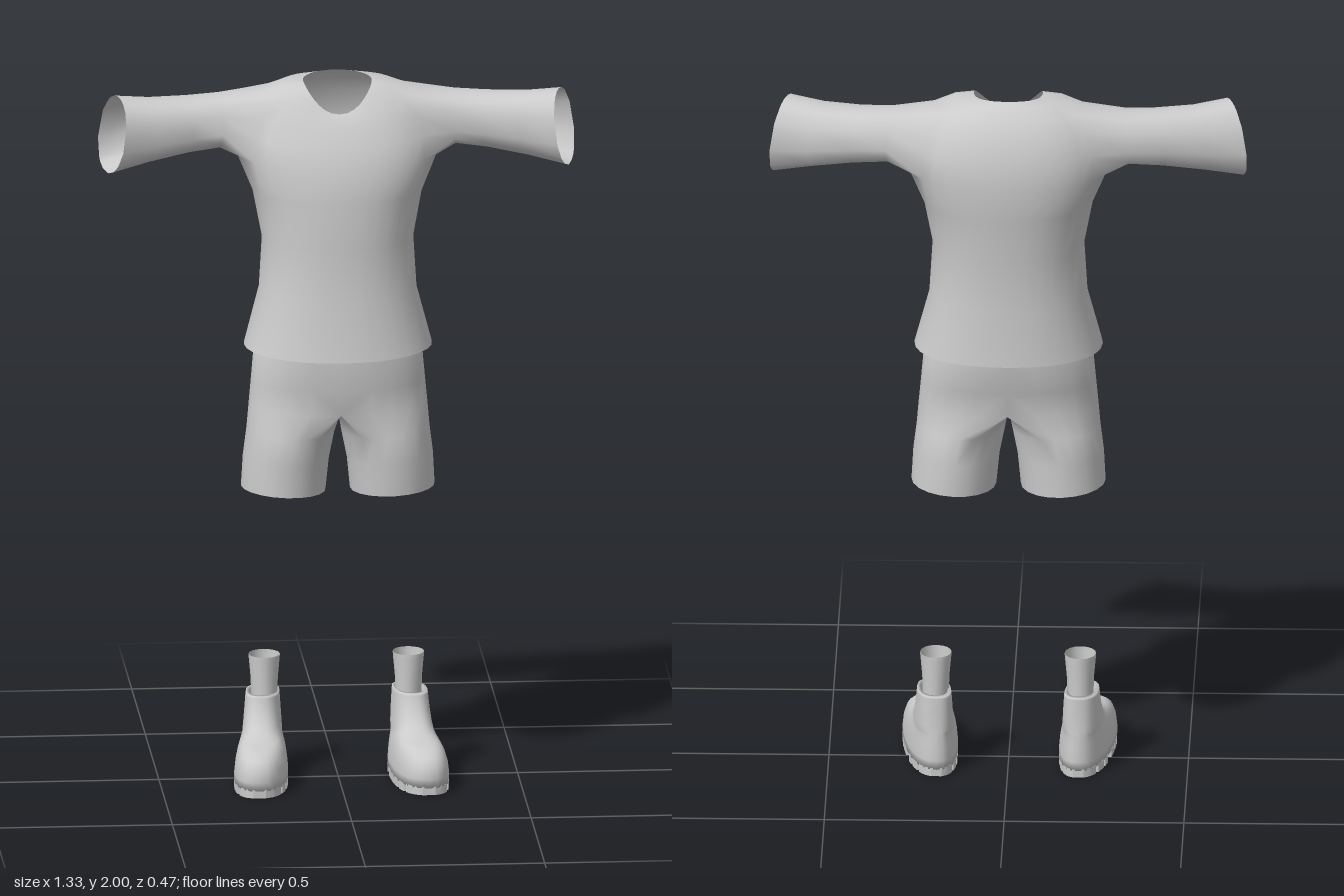
import * as THREE from 'three';
import { mergeVertices } from 'three/addons/utils/BufferGeometryUtils.js';

const grey = new THREE.MeshStandardMaterial({ color: 0xcccccc, side: THREE.DoubleSide });
const TAU = Math.PI * 2;
const pow = (v, e) => Math.sign(v) * Math.abs(v) ** e;

function surface(positions, index) {
  const g = new THREE.BufferGeometry();
  g.setAttribute('position', new THREE.Float32BufferAttribute(positions.flat(), 3));
  g.setIndex(index);
  const merged = mergeVertices(g, 1e-5);
  merged.computeVertexNormals();
  return merged;
}

function addMesh(parent, geometry, name) {
  const mesh = new THREE.Mesh(geometry, grey);
  mesh.name = name;
  parent.add(mesh);
  return mesh;
}

const quad = (index, a, b, up, upNext) => index.push(a, up, b, b, up, upNext);

// Closed rings stacked upwards, optionally closed underneath
function loft(rings, capBottom) {
  const n = rings[0].length, pts = rings.flat(), index = [];
  for (let r = 0; r < rings.length - 1; r++)
    for (let i = 0; i < n; i++) {
      const a = r * n + i, b = r * n + (i + 1) % n;
      quad(index, a, b, a + n, b + n);
    }
  if (capBottom) {
    const c = new THREE.Vector3();
    rings[0].forEach(p => c.add(new THREE.Vector3(...p).divideScalar(n)));
    pts.push(c.toArray());
    for (let i = 0; i < n; i++) index.push(pts.length - 1, i, (i + 1) % n);
  }
  return surface(pts, index);
}

// Shirt: trunk with two armholes, each continued as a sleeve
function shirt() {
  const N = 32, H = 3, LOW = 4, HIGH = 7;
  // yFront, ySide, yBack, half width, zFront, zBack
  const rows = [
    [1.232, 1.242, 1.24, 0.262, 0.182, -0.212],
    [1.4, 1.4, 1.4, 0.22, 0.152, -0.2],
    [1.55, 1.55, 1.55, 0.211, 0.15, -0.207],
    [1.68, 1.68, 1.68, 0.236, 0.15, -0.225],
    [1.77, 1.785, 1.77, 0.28, 0.138, -0.236],
    [1.83, 1.85, 1.85, 0.275, 0.112, -0.228],
    [1.87, 1.915, 1.915, 0.255, 0.092, -0.207],
    [1.893, 1.965, 1.96, 0.21, 0.077, -0.178],
    [1.907, 1.988, 1.987, 0.15, 0.066, -0.15],
    [1.915, 1.992, 1.998, 0.096, 0.056, -0.122],
  ];
  const pts = [], index = [];
  for (const [yf, ys, yb, w, zf, zb] of rows)
    for (let i = 0; i < N; i++) {
      const a = i / N * TAU, s = Math.sin(a);
      pts.push([w * pow(Math.cos(a), 0.9), ys + ((s > 0 ? yf : yb) - ys) * s * s,
        (zf + zb) / 2 + (zf - zb) / 2 * pow(s, 0.9)]);
    }
  const id = (r, c) => r * N + (c + N) % N;
  const inHole = c => (c + H + N) % N < 2 * H || (c + H + N / 2) % N < 2 * H;
  for (let r = 0; r < rows.length - 1; r++)
    for (let c = 0; c < N; c++)
      if (!(r >= LOW && r < HIGH && inHole(c)))
        quad(index, id(r, c), id(r, c + 1), id(r + 1, c), id(r + 1, c + 1));

  // Armhole border, walked once round
  const border = [];
  for (let c = H; c > -H; c--) border.push([HIGH, c]);
  for (let r = HIGH; r > LOW; r--) border.push([r, -H]);
  for (let c = -H; c < H; c++) border.push([LOW, c]);
  for (let r = LOW; r < HIGH; r++) border.push([r, H]);
  // x, yTop, yBottom, zFront, zBack, slant of the ring
  const sleeve = [
    [0.33, 1.953, 1.8, 0.033, -0.15, 0.1],
    [0.42, 1.95, 1.79, 0.042, -0.132, 0.2],
    [0.53, 1.952, 1.77, 0.065, -0.113, 0.3],
    [0.63, 1.965, 1.745, 0.084, -0.084, 0.37],
  ];
  for (const side of [1, -1]) {
    let last = border.map(([r, c]) => id(r, side > 0 ? c : N / 2 - c));
    const angles = border.map(([r, c]) => {
      const p = pts[id(r, c)];
      return Math.atan2((p[2] + 0.055) / 0.105, (p[1] - 1.872) / 0.09);
    });
    for (const [x, yt, yb, zf, zb, slant] of sleeve) {
      const start = pts.length, n = angles.length;
      for (const a of angles) {
        const dy = (yt - yb) / 2 * Math.cos(a), dz = (zf - zb) / 2 * Math.sin(a);
        pts.push([side * (x - slant * dz - 0.35 * slant * dy), (yt + yb) / 2 + dy, (zf + zb) / 2 + dz]);
      }
      const next = angles.map((_, i) => start + i);
      for (let i = 0; i < n; i++) {
        const j = (i + 1) % n;
        if (side > 0) quad(index, last[i], last[j], next[i], next[j]);
        else quad(index, last[j], last[i], next[j], next[i]);
      }
      last = next;
    }
  }
  return surface(pts, index);
}

// Shorts: one half (leg below, half of the hips above), mirrored and joined
function shorts() {
  const N = 20, K = 6;
  // y, leg centre x, leg half width, zFront, zBack
  const legs = [[0.83, 0.152, 0.118, 0.113, -0.15], [0.92, 0.145, 0.12, 0.12, -0.15],
    [1.0, 0.132, 0.123, 0.126, -0.15]];
  // y, half width, zFront, zBack
  const hips = [[1.065, 0.25, 0.118, -0.14], [1.14, 0.243, 0.13, -0.16],
    [1.23, 0.235, 0.14, -0.18], [1.3, 0.205, 0.135, -0.175]];
  const half = [], faces = [];
  for (const [y, cx, w, zf, zb] of legs)
    for (let i = 0; i < N; i++) {
      const a = i / N * TAU;
      half.push([cx + w * Math.cos(a), y + 0.05 * w * Math.cos(a), (zf + zb) / 2 + (zf - zb) / 2 * Math.sin(a)]);
    }
  for (const [y, w, zf, zb] of hips)
    for (let i = 0; i < N; i++) {
      const c = i > N / 2 ? i - N : i, mid = (zf + zb) / 2, d = (zf - zb) / 2;
      if (Math.abs(c) <= K) {
        const a = c / K * Math.PI / 2;
        half.push([Math.abs(c) === K ? 0 : w * pow(Math.cos(a), 0.8), y, mid + d * pow(Math.sin(a), 0.9)]);
      } else {
        const t = (N / 2 - i) / (N / 2 - K);
        half.push([0, y - 0.02 * (1 - t * t), mid + d * t]);
      }
    }
  for (let r = 0; r < legs.length + hips.length - 1; r++)
    for (let i = 0; i < N; i++) {
      if (r >= legs.length && i >= K && i < N - K) continue;
      const a = r * N + i, b = r * N + (i + 1) % N;
      quad(faces, a, b, a + N, b + N);
    }
  const M = half.length, index = [...faces];
  for (let f = 0; f < faces.length; f += 3) index.push(faces[f] + M, faces[f + 2] + M, faces[f + 1] + M);
  return surface([...half, ...half.map(([x, y, z]) => [-x, y, z])], index);
}

// Boot with sock and treaded sole, for the +x foot
function boot() {
  const group = new THREE.Group(), N = 28, E = 0.82;
  const shear = z => 0.213 + 0.1 * z;
  // y, zFront, zBack, half width at toe, half width at heel
  const rows = [
    [0.02, 0.232, -0.16, 0.082, 0.066], [0.045, 0.236, -0.16, 0.082, 0.066],
    [0.075, 0.233, -0.159, 0.078, 0.064], [0.1, 0.215, -0.157, 0.07, 0.061],
    [0.115, 0.185, -0.156, 0.06, 0.059], [0.123, 0.14, -0.155, 0.054, 0.058],
    [0.13, 0.085, -0.154, 0.053, 0.057], [0.148, 0.047, -0.152, 0.052, 0.055],
    [0.185, 0.014, -0.15, 0.049, 0.052], [0.225, 0.001, -0.149, 0.046, 0.049],
    [0.232, -0.001, -0.148, 0.045, 0.048], [0.232, -0.012, -0.135, 0.036, 0.038],
    [0.2, -0.016, -0.13, 0.034, 0.036],
  ];
  const width = (row, s) => row[4] + (row[3] - row[4]) * (s + 1) / 2;
  const ring = row => Array.from({ length: N }, (_, i) => {
    const a = i / N * TAU, s = pow(Math.sin(a), E);
    const z = (row[1] + row[2]) / 2 + (row[1] - row[2]) / 2 * s;
    return [shear(z) + width(row, s) * pow(Math.cos(a), E), row[0], z];
  });
  addMesh(group, loft(rows.map(ring), true), 'bootUpper');

  // Sole lugs, trimmed to the outline of the foot
  const base = rows[0], mid = (base[1] + base[2]) / 2, d = (base[1] - base[2]) / 2;
  const lugs = [[0.23, 0.19], [0.178, 0.147], [0.134, 0.105], [0.092, 0.063], [0.05, 0.003],
    [-0.04, -0.066], [-0.078, -0.112], [-0.124, -0.158]];
  for (const [z1, z0] of lugs) {
    const g = new THREE.BoxGeometry(2, 0.024, z1 - z0, 1, 1, 4).translate(0, 0.012, (z0 + z1) / 2);
    const p = g.attributes.position;
    for (let i = 0; i < p.count; i++) {
      const z = p.getZ(i), s = (z - mid) / d;
      const c = Math.sqrt(Math.max(0, 1 - Math.abs(s) ** (2 / E))) ** E;
      p.setX(i, shear(z) + p.getX(i) * c * width(base, s));
    }
    g.computeVertexNormals();
    addMesh(group, g, 'soleLug');
  }

  // Sock flaring towards its open top
  const sock = [[0.2, 0.036, 0.046], [0.27, 0.038, 0.047], [0.325, 0.043, 0.05], [0.338, 0.044, 0.05]]
    .map(([y, rx, rz]) => Array.from({ length: 16 }, (_, i) =>
      [0.201 + rx * Math.cos(i / 16 * TAU), y, -0.07 + rz * Math.sin(i / 16 * TAU)]));
  addMesh(group, loft(sock, false), 'sock');
  return group;
}

export function createModel() {
  const model = new THREE.Group();
  model.name = 'outfit';
  addMesh(model, shirt(), 'shirt');
  addMesh(model, shorts(), 'shorts');
  for (const side of [1, -1]) {
    const b = boot();
    b.name = side > 0 ? 'leftBoot' : 'rightBoot';
    b.scale.x = side;
    model.add(b);
  }
  return model;
}
